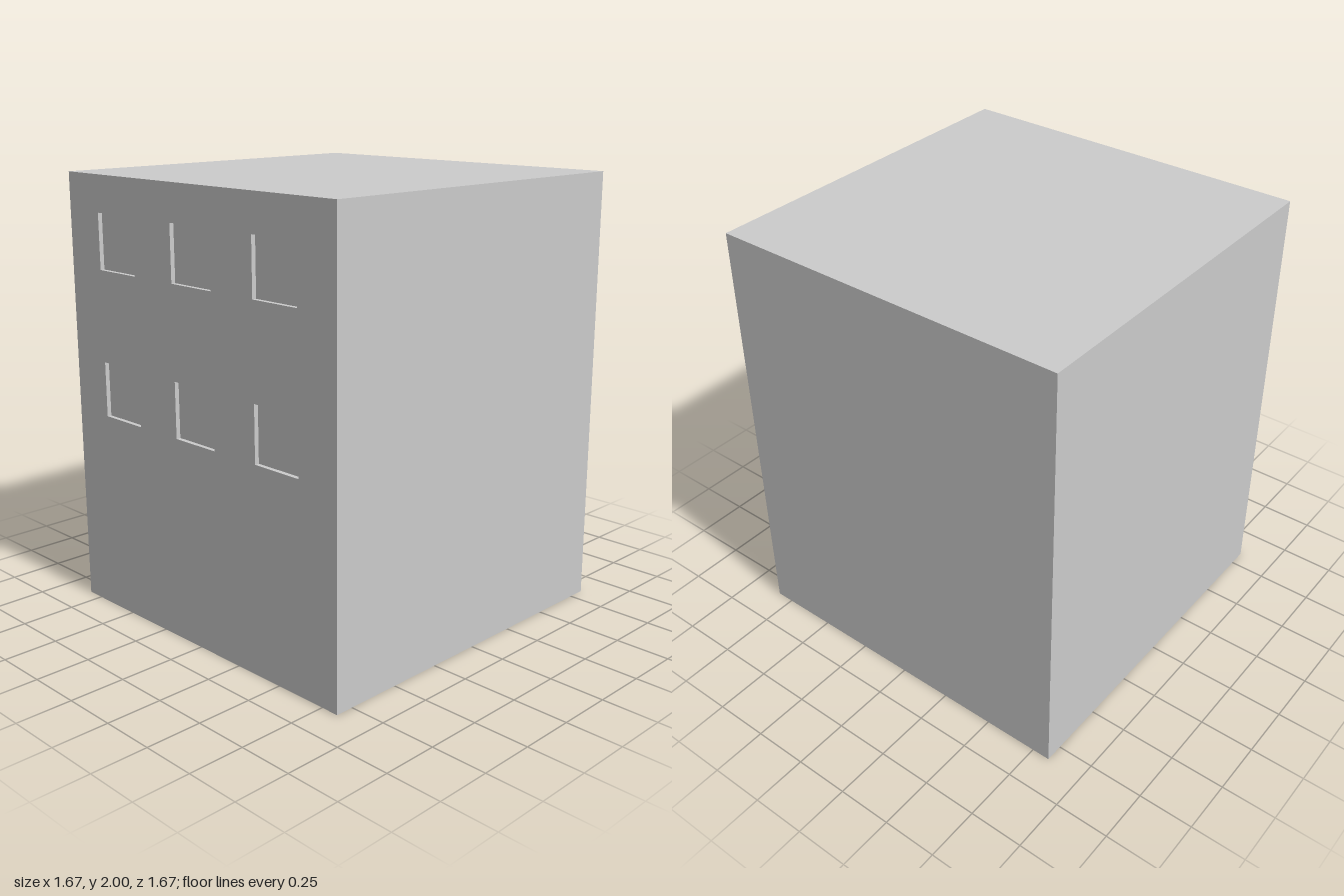
import * as THREE from 'three';

const W = 5 / 3, H = 2, HALF = W / 2; // shell width/depth, height
const WIN = 0.25, RECESS = 0.02;      // window size and depth
const COLUMNS = [-0.5, 0, 0.5], ROWS = [1.045, 1.71];

const material = new THREE.MeshStandardMaterial({
  color: 0xcccccc, flatShading: true, side: THREE.DoubleSide,
});

// Flat panel facing +z, then turned and placed
function panel(name, w, h, position, rotX = 0, rotY = 0) {
  const mesh = new THREE.Mesh(new THREE.PlaneGeometry(w, h), material);
  mesh.name = name;
  mesh.position.set(...position);
  mesh.rotation.set(rotX, rotY, 0);
  return mesh;
}

// Front wall with a square opening for every window
function frontWall() {
  const shape = new THREE.Shape([
    new THREE.Vector2(-HALF, 0), new THREE.Vector2(HALF, 0),
    new THREE.Vector2(HALF, H), new THREE.Vector2(-HALF, H),
  ]);
  const r = WIN / 2;
  for (const x of COLUMNS) for (const y of ROWS) {
    shape.holes.push(new THREE.Path([
      new THREE.Vector2(x - r, y - r), new THREE.Vector2(x - r, y + r),
      new THREE.Vector2(x + r, y + r), new THREE.Vector2(x + r, y - r),
    ]));
  }
  const mesh = new THREE.Mesh(new THREE.ShapeGeometry(shape), material);
  mesh.name = 'frontWall';
  mesh.position.z = HALF;
  return mesh;
}

// Shallow recessed window: pane plus four reveals facing the opening
function recessedWindow(x, y) {
  const group = new THREE.Group();
  const r = WIN / 2, mid = -RECESS / 2, q = Math.PI / 2;
  group.name = 'window';
  group.add(
    panel('pane', WIN, WIN, [0, 0, -RECESS]),
    panel('sill', WIN, RECESS, [0, -r, mid], -q),
    panel('lintel', WIN, RECESS, [0, r, mid], q),
    panel('rightJamb', RECESS, WIN, [-r, 0, mid], 0, q),
    panel('leftJamb', RECESS, WIN, [r, 0, mid], 0, -q),
  );
  group.position.set(x, y, HALF);
  return group;
}

export function createModel() {
  const model = new THREE.Group();
  model.name = 'building';
  const q = Math.PI / 2;

  // Hollow shell, open underneath
  model.add(
    frontWall(),
    panel('backWall', W, H, [0, H / 2, -HALF], 0, Math.PI),
    panel('leftWall', W, H, [HALF, H / 2, 0], 0, q),
    panel('rightWall', W, H, [-HALF, H / 2, 0], 0, -q),
    panel('roof', W, W, [0, H, 0], -q),
  );

  // Two rows of three windows
  for (const y of ROWS) for (const x of COLUMNS) model.add(recessedWindow(x, y));
  return model;
}
